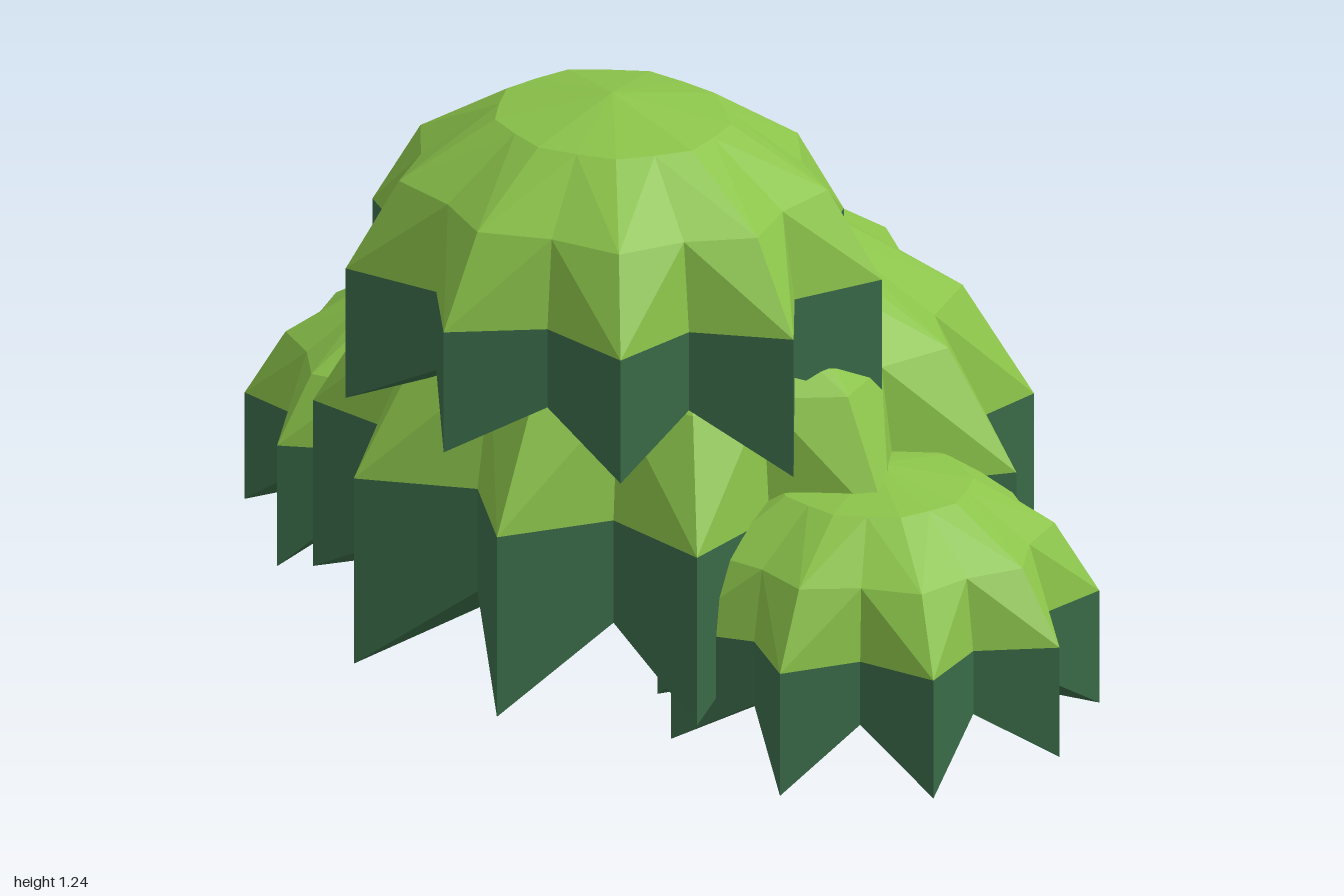
import * as THREE from 'three';
import { toCreasedNormals } from 'three/addons/utils/BufferGeometryUtils.js';

const leafMaterial = new THREE.MeshStandardMaterial({ color: 0x8bc34a, flatShading: true });
const skirtMaterial = new THREE.MeshStandardMaterial({ color: 0x3a6b48, flatShading: true });

// Star-shaped ring: even points are tips, odd points are valleys.
function starRing(d, tip, valley, yTip, yValley = yTip) {
  return Array.from({ length: d.points * 2 }, (_, i) => {
    const a = d.phase * Math.PI / 180 + i * Math.PI / d.points;
    const odd = i % 2 === 1;
    const r = odd ? valley : tip;
    const y = odd ? yValley : (typeof yTip === 'function' ? yTip(i / 2) : yTip);
    return [d.x + d.rx * r * Math.cos(a), y, d.z + d.rz * r * Math.sin(a)];
  });
}

// Skins a stack of rings from top to bottom; a one-point ring closes an end.
function skin(rings, material, name) {
  const pos = [];
  const tri = (a, b, c) => pos.push(...a, ...b, ...c);
  for (let k = 0; k < rings.length - 1; k++) {
    const U = rings[k], L = rings[k + 1];
    const n = Math.max(U.length, L.length);
    for (let i = 0; i < n; i++) {
      const j = (i + 1) % n;
      if (U.length === 1) tri(U[0], L[j], L[i]);
      else if (L.length === 1) tri(U[i], U[j], L[0]);
      else if (i % 2 === 0) {
        tri(U[i], U[j], L[i]);
        tri(U[j], L[j], L[i]);
      } else {
        tri(U[i], U[j], L[j]);
        tri(U[i], L[j], L[i]);
      }
    }
  }
  const geometry = new THREE.BufferGeometry();
  geometry.setAttribute('position', new THREE.Float32BufferAttribute(pos, 3));
  geometry.computeVertexNormals();
  const mesh = new THREE.Mesh(toCreasedNormals(geometry, 0.01), material);
  mesh.name = name;
  return mesh;
}

// One clump: a faceted star dome over a jagged, darker skirt.
function foliageClump(d) {
  const group = new THREE.Group();
  group.name = d.name;
  const rim = starRing(d, 1, 0.76, d.base);
  const dome = [
    [[d.x, d.base + d.height, d.z]],
    starRing(d, 0.44, 0.42, d.base + d.height * 0.87),
    starRing(d, 0.8, 0.71, d.base + d.height * 0.52),
    rim,
  ];
  // tips hang to slightly different depths
  const tipY = k => d.base - d.depth + d.jitter * Math.sin(k * 2.3 + 1);
  const midY = d.base - 0.3 * d.rx;
  const skirt = [rim, starRing(d, 1, 0.76, tipY, midY), [[d.x, midY, d.z]]];
  group.add(skin(dome, leafMaterial, 'leafDome'), skin(skirt, skirtMaterial, 'leafSkirt'));
  return group;
}

export function createModel() {
  const model = new THREE.Group();
  model.name = 'bush';
  const clumps = [
    { name: 'topClump', points: 9, phase: 88, x: 0.04, z: 0.225, rx: 0.55, rz: 0.505,
      base: 0.893, height: 0.345, depth: 0.27, jitter: 0.02 },
    { name: 'mainClump', points: 11, phase: 45, x: -0.03, z: -0.035, rx: 0.72, rz: 0.697,
      base: 0.453, height: 0.46, depth: 0.375, jitter: 0.025 },
    { name: 'leftClump', points: 9, phase: -7, x: 0.56, z: 0.035, rx: 0.443, rz: 0.432,
      base: 0.265, height: 0.28, depth: 0.246, jitter: 0.018 },
    { name: 'rightClump', points: 9, phase: 184, x: -0.6, z: 0, rx: 0.4, rz: 0.4,
      base: 0.333, height: 0.255, depth: 0.235, jitter: 0.02 },
  ];
  for (const c of clumps) model.add(foliageClump(c));
  return model;
}
